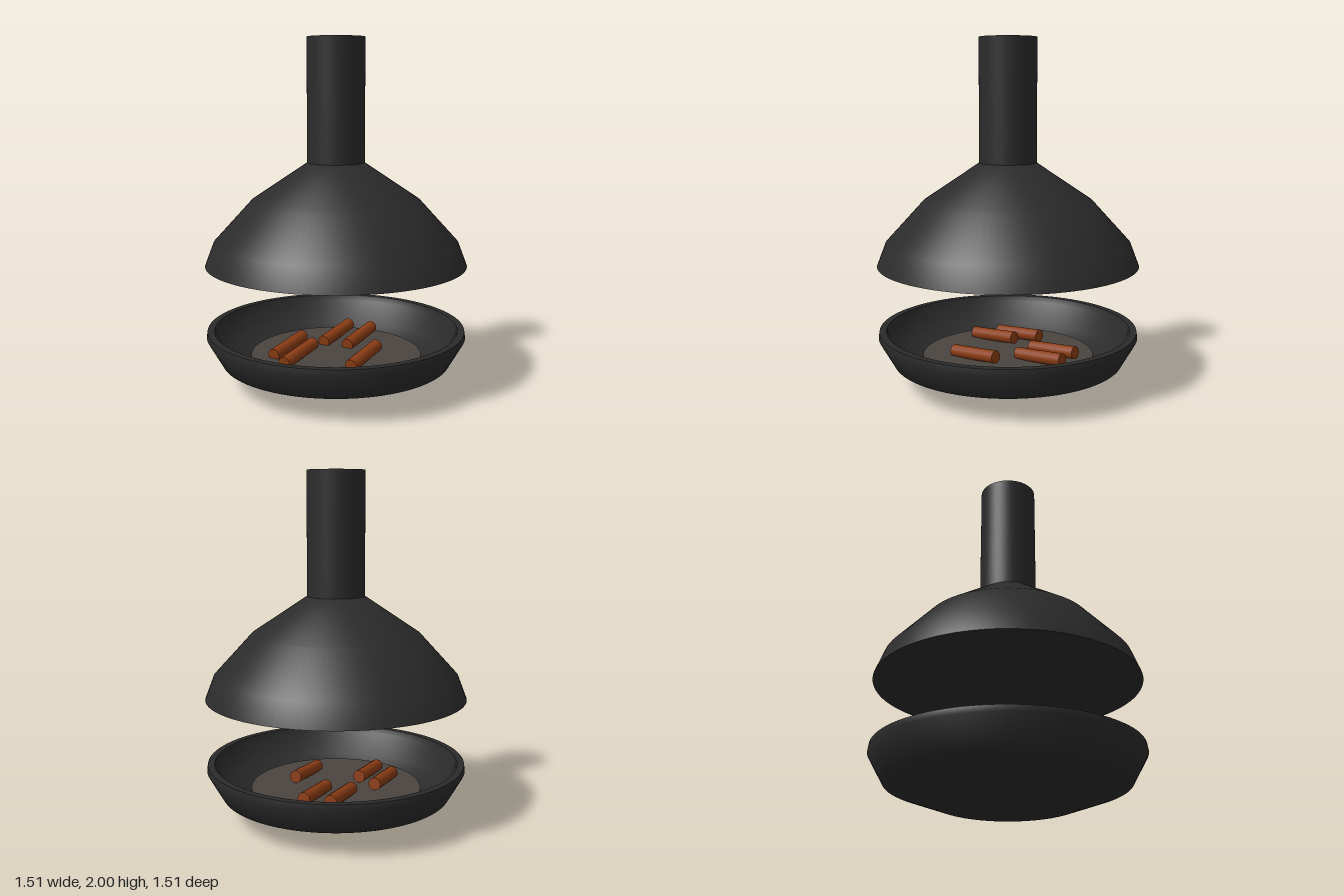
import * as THREE from 'three';
import { toCreasedNormals } from 'three/addons/utils/BufferGeometryUtils.js';

const SEGMENTS = 96;
const steel = new THREE.MeshStandardMaterial({ color: 0x2b2b2b });
const ash = new THREE.MeshStandardMaterial({ color: 0x4a4540 });
const wood = new THREE.MeshStandardMaterial({ color: 0x8b3c14 });

function add(parent, name, geometry, material) {
  const mesh = new THREE.Mesh(geometry, material);
  mesh.name = name;
  parent.add(mesh);
  return mesh;
}

// Turned shape: gentle bends stay smooth, rims stay sharp
function turned(profile) {
  const points = profile.map(([r, y]) => new THREE.Vector2(r, y));
  return toCreasedNormals(new THREE.LatheGeometry(points, SEGMENTS), 0.9);
}

export function createModel() {
  const group = new THREE.Group();
  group.name = 'hangingFireplace';

  // Fire bowl: outer shell, rim, then inner shell back to the axis
  add(group, 'fireBowl', turned([
    [0, 0], [0.1, 0.005], [0.4, 0.04], [0.67, 0.14], [0.755, 0.29], [0.75, 0.325],
    [0.71, 0.325], [0.7, 0.29], [0.62, 0.17], [0.38, 0.09], [0, 0.06],
  ]), steel);

  // Hood with a flat underside
  add(group, 'hood', turned([
    [0, 0.71], [0.755, 0.71], [0.705, 0.84], [0.485, 1.08], [0.165, 1.295], [0, 1.295],
  ]), steel);

  // Flue pipe
  add(group, 'fluePipe', new THREE.CylinderGeometry(0.165, 0.165, 0.705, SEGMENTS), steel)
    .position.y = 1.6475;

  // Ash bed
  add(group, 'ashBed', new THREE.CylinderGeometry(0.5, 0.5, 0.05, SEGMENTS), ash)
    .position.y = 0.14;

  // Logs, all lying the same way with a slight tilt
  const logs = new THREE.Group();
  logs.name = 'logs';
  const logGeometry = new THREE.CylinderGeometry(0.037, 0.037, 0.32, 16);
  const spots = [[-0.24, -0.06], [-0.19, -0.21], [0.19, -0.19], [0.25, -0.05], [0, 0.23]];
  for (const [x, z] of spots) {
    const log = add(logs, 'log', logGeometry, wood);
    log.position.set(x, 0.2, z);
    log.rotation.set(0.3, 0.3, Math.PI / 2);
  }
  group.add(logs);

  return group;
}
